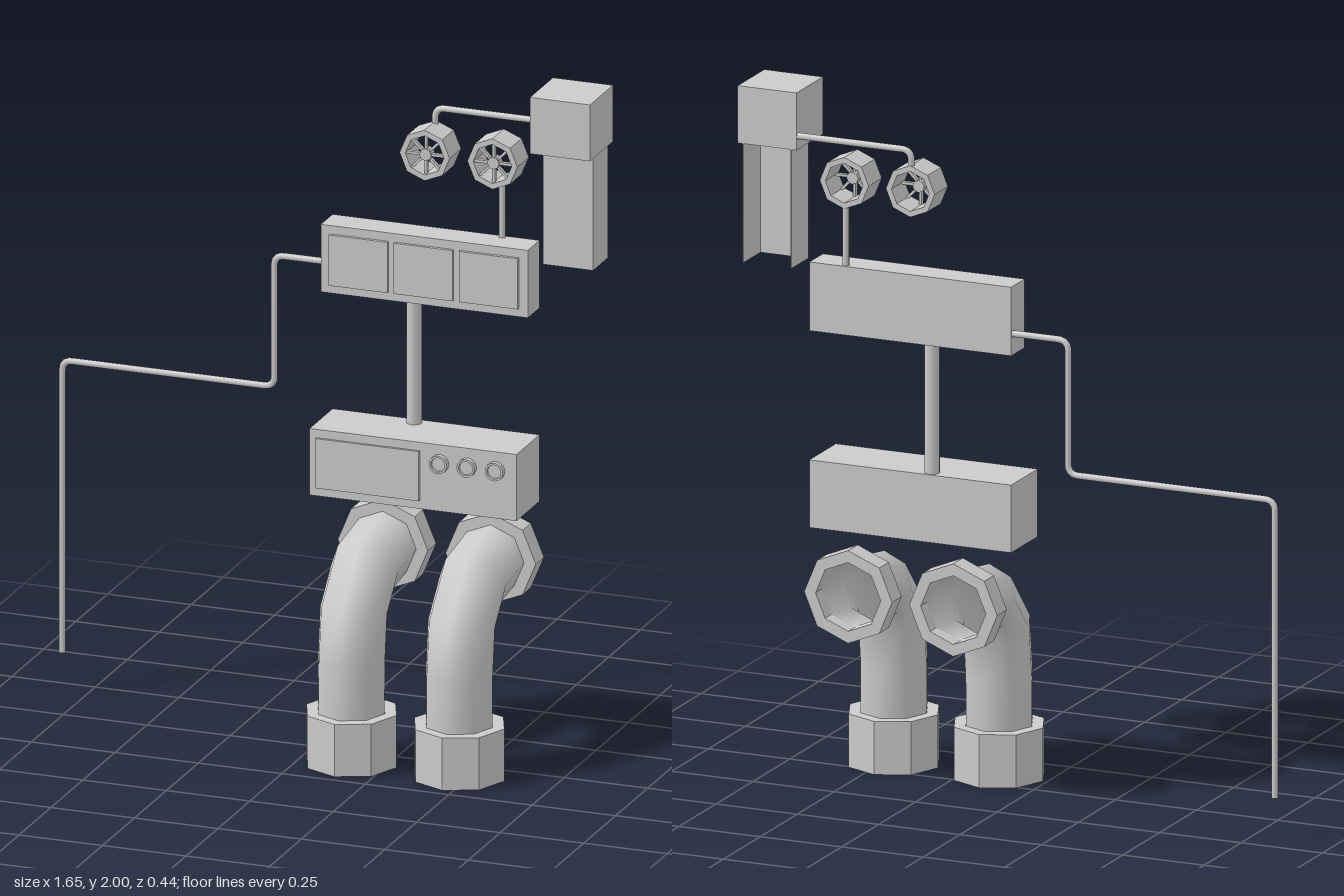
import * as THREE from 'three';
import { mergeVertices } from 'three/addons/utils/BufferGeometryUtils.js';

const smooth = new THREE.MeshStandardMaterial({ color: 0xcccccc, side: THREE.DoubleSide });
const flat = new THREE.MeshStandardMaterial({ color: 0xcccccc, side: THREE.DoubleSide, flatShading: true });
const V = (x, y, z) => new THREE.Vector3(x, y, z);

function add(parent, name, geometry, material = flat, x = 0, y = 0, z = 0) {
  const mesh = new THREE.Mesh(geometry, material);
  mesh.name = name;
  mesh.position.set(x, y, z);
  parent.add(mesh);
  return mesh;
}

// Box given by its two extreme corners
function box(parent, name, x0, x1, y0, y1, z0, z1) {
  return add(parent, name, new THREE.BoxGeometry(x1 - x0, y1 - y0, z1 - z0), flat,
    (x0 + x1) / 2, (y0 + y1) / 2, (z0 + z1) / 2);
}

// Hollow ring of rectangular section, standing on y = 0
function ring(inner, outer, height, sides = 8) {
  const p = [[inner, height], [inner, 0], [outer, 0], [outer, height], [inner, height]];
  return new THREE.LatheGeometry(p.map(([r, y]) => new THREE.Vector2(r, y)), sides);
}

// Thin round pipe along straight runs with rounded corners
function pipe(parent, name, points, radius = 0.01, bend = 0.03) {
  const path = new THREE.CurvePath();
  let from = points[0];
  for (let i = 1; i < points.length - 1; i++) {
    const c = points[i];
    const a = c.clone().add(points[i - 1].clone().sub(c).setLength(bend));
    const b = c.clone().add(points[i + 1].clone().sub(c).setLength(bend));
    path.add(new THREE.LineCurve3(from, a));
    path.add(new THREE.QuadraticBezierCurve3(a, c, b));
    from = b;
  }
  const end = points[points.length - 1];
  path.add(new THREE.LineCurve3(from, end));
  add(parent, name, new THREE.TubeGeometry(path, points.length > 2 ? 160 : 1, radius, 8), smooth);
  const cap = add(parent, name + 'Cap', new THREE.CircleGeometry(radius, 8), smooth, end.x, end.y, end.z);
  cap.lookAt(end.clone().multiplyScalar(2).sub(from));
}

// Eight-sided elbow: each row of a cylinder is moved to [z, y, tilt in degrees]
function elbowGeometry(radius) {
  const rows = [[0.09, 0.08, 0], [0.089, 0.3, 3], [0.072, 0.445, 15],
    [-0.015, 0.542, 68], [-0.155, 0.563, 87], [-0.18, 0.564, 90]];
  const n = rows.length - 1;
  let g = new THREE.CylinderGeometry(radius, radius, 1, 8, n, true);
  const p = g.attributes.position;
  for (let i = 0; i < p.count; i++) {
    const [z, y, tilt] = rows[Math.round((p.getY(i) + 0.5) * n)];
    const a = THREE.MathUtils.degToRad(tilt), d = p.getZ(i);
    p.setXYZ(i, p.getX(i), y + d * Math.sin(a), z + d * Math.cos(a));
  }
  g.deleteAttribute('uv');
  g.deleteAttribute('normal');
  g = mergeVertices(g);
  g.computeVertexNormals();
  return g;
}

// Octagonal drum with a spoked wheel at its front
function spokedDrum(parent, name, x, y) {
  const drum = new THREE.Group();
  drum.name = name;
  drum.position.set(x, y, -0.187);
  parent.add(drum);
  add(drum, 'drumShell', ring(0.058, 0.075, 0.09).rotateX(Math.PI / 2));
  add(drum, 'hub', new THREE.CylinderGeometry(0.018, 0.018, 0.03, 8).rotateX(Math.PI / 2), flat, 0, 0, 0.07);
  for (let i = 0; i < 8; i++) {
    const spoke = add(drum, 'spoke', new THREE.BoxGeometry(0.05, 0.008, 0.012).translate(0.037, 0, 0), flat, 0, 0, 0.075);
    spoke.rotation.z = i * Math.PI / 4;
  }
}

export function createModel() {
  const model = new THREE.Group();
  model.name = 'pipeworkMachine';

  // Pair of bent outlet pipes with hollow collars
  for (const x of [0.147, 0.47]) {
    const outlet = new THREE.Group();
    outlet.name = 'outletPipe';
    outlet.position.x = x;
    model.add(outlet);
    add(outlet, 'elbow', elbowGeometry(0.1), smooth);
    add(outlet, 'baseCollar', ring(0.1, 0.135, 0.155), flat, 0, 0, 0.088);
    add(outlet, 'backCollar', ring(0.1, 0.135, 0.065).rotateX(-Math.PI / 2), flat, 0, 0.563, -0.157);
  }

  // Lower control box with a panel and three dials
  box(model, 'lowerBox', -0.015, 0.605, 0.74, 0.937, -0.187, -0.007);
  box(model, 'lowerPanel', 0.005, 0.315, 0.765, 0.912, -0.01, 0.001);
  const dial = [[0, 0.01], [0.02, 0.01], [0.021, 0.016], [0.027, 0.016], [0.027, 0]]
    .reverse().map(([r, y]) => new THREE.Vector2(r, y));
  for (const x of [0.375, 0.458, 0.543]) {
    add(model, 'dial', new THREE.LatheGeometry(dial, 16).rotateX(Math.PI / 2), flat, x, 0.882, -0.007);
  }

  // Upper box with three raised panels
  add(model, 'post', new THREE.CylinderGeometry(0.022, 0.022, 0.375, 12), smooth, 0.24, 1.124, -0.16);
  box(model, 'upperBox', -0.015, 0.605, 1.313, 1.513, -0.187, -0.095);
  for (const x of [0.1, 0.295, 0.49]) {
    box(model, 'upperPanel', x - 0.088, x + 0.088, 1.338, 1.488, -0.1, -0.085);
  }

  // Corner box with an open-backed chute below it
  box(model, 'cornerBox', 0.645, 0.825, 1.833, 2, -0.187, -0.007);
  const t = 0.003;
  box(model, 'chuteFront', 0.66, 0.81, 1.487, 1.833, -0.07 - t, -0.07);
  box(model, 'chuteSide', 0.66, 0.66 + t, 1.487, 1.833, -0.187, -0.07 - t);
  box(model, 'chuteSide', 0.81 - t, 0.81, 1.487, 1.833, -0.187, -0.07 - t);

  // Spoked drums and the thin pipes
  spokedDrum(model, 'leftDrum', 0.498, 1.755);
  spokedDrum(model, 'rightDrum', 0.295, 1.755);
  const z = -0.175;
  pipe(model, 'drumStem', [V(0.498, 1.5, z), V(0.498, 1.69, z)]);
  pipe(model, 'drumFeed', [V(0.65, 1.872, z), V(0.297, 1.872, z), V(0.297, 1.82, z)]);
  pipe(model, 'longPipe', [V(-0.01, 1.375, z), V(-0.185, 1.375, z), V(-0.185, 0.985, z),
    V(-0.82, 0.985, z), V(-0.82, 0.12, z)]);

  return model;
}
